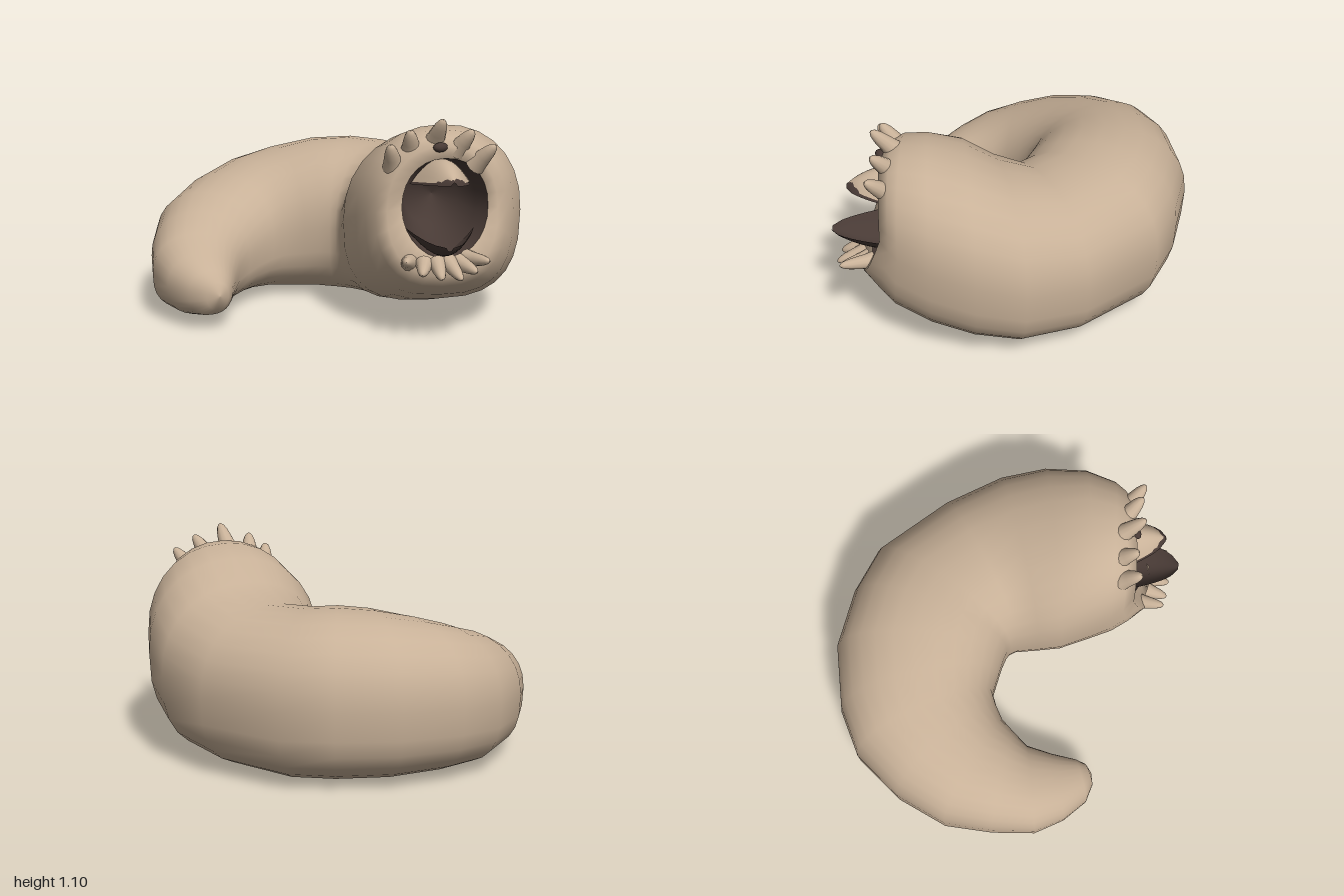
import * as THREE from 'three';

const AROUND = 28;
const V = (x, y, z) => new THREE.Vector3(x, y, z);

// One upright oval: outer (px,pz), inner (qx,qz), bottom, top,
// forward jut of the lower half, and how round the lower half is (1 = ellipse)
function ringPoint([px, pz, qx, qz, bottom, top, jut = 0, round = 0.72], j) {
  const a = (j / AROUND) * Math.PI * 2;
  const power = Math.sin(a) < 0 ? round : 0.92;
  const soft = (v) => Math.sign(v) * Math.abs(v) ** power;
  const c = soft(Math.cos(a)), s = soft(Math.sin(a));
  const push = Math.max(-s, 0) * jut;
  return V(
    (px + qx) / 2 + (c * (px - qx)) / 2 - 0.45 * push,
    (bottom + top) / 2 + (s * (top - bottom)) / 2,
    (pz + qz) / 2 + (c * (pz - qz)) / 2 + 0.89 * push
  );
}

// Grid of rows to a surface; closed rows wrap round without a seam
function skin(rows, closed) {
  const n = rows[0].length, pos = [], idx = [];
  rows.forEach((r) => r.forEach((p) => pos.push(p.x, p.y, p.z)));
  for (let i = 0; i < rows.length - 1; i++) {
    for (let j = 0; j < (closed ? n : n - 1); j++) {
      const k = (j + 1) % n;
      const a = i * n + j, b = i * n + k, c = a + n, d = b + n;
      idx.push(a, b, c, b, d, c);
    }
  }
  const g = new THREE.BufferGeometry();
  g.setAttribute('position', new THREE.Float32BufferAttribute(pos, 3));
  g.setIndex(idx);
  g.computeVertexNormals();
  return g;
}

// Sweep through a list of ovals
const loft = (rings) =>
  skin(rings.map((r) => Array.from({ length: AROUND }, (_, j) => ringPoint(r, j))), true);

// Curved scoop narrowing to its tip; sag < 0 makes an arch, width < 0 turns the face upward
function scoop(base, tip, width, sag) {
  const rows = [], side = V(0.89, 0, 0.45);
  for (let i = 0; i <= 8; i++) {
    const u = i / 8, w = width * Math.sqrt(1 - u * 0.99), row = [];
    for (let j = 0; j <= 12; j++) {
      const v = (j / 12) * 2 - 1;
      const p = base.clone().lerp(tip, u).addScaledVector(side, v * w);
      p.y -= sag * (1 - v * v) * (1 - u * u * 0.85);
      row.push(p);
    }
    rows.push(row);
  }
  return skin(rows, false);
}

export function createModel() {
  const group = new THREE.Group();
  const skinMat = new THREE.MeshStandardMaterial({ color: 0xc8b198 });
  skinMat.name = 'tan skin';
  const darkMat = new THREE.MeshStandardMaterial({ color: 0x483a35, side: THREE.DoubleSide });
  darkMat.name = 'dark mouth';
  const add = (name, geometry, material) => {
    const m = new THREE.Mesh(geometry, material);
    m.name = name;
    group.add(m);
    return m;
  };

  // Curled body from tail tip to the edge of the mouth
  const lip = [0.43, 0.79, 0.03, 0.63, 0.42, 0.9, 0.09, 1];
  add('body', loft([
    [-0.725, 0.135, -0.725, 0.135, 0.19, 0.19],
    [-0.79, 0.115, -0.67, 0.12, 0.12, 0.26, 0, 0.9],
    [-0.86, 0.05, -0.63, 0.08, 0.08, 0.31, 0, 0.85],
    [-0.91, -0.1, -0.56, -0.03, 0.05, 0.37, 0, 0.8],
    [-0.92, -0.27, -0.48, -0.14, 0.04, 0.44],
    [-0.84, -0.48, -0.4, -0.18, 0.035, 0.52],
    [-0.72, -0.7, -0.32, -0.215, 0.03, 0.59],
    [-0.5, -0.88, -0.24, -0.22, 0.03, 0.66],
    [-0.23, -1.0, -0.17, -0.215, 0.02, 0.72],
    [0.02, -1.0, -0.09, -0.15, 0.015, 0.77],
    [0.34, -0.91, -0.03, -0.1, 0.01, 0.815],
    [0.6, -0.72, 0.01, -0.06, 0.005, 0.83],
    [0.78, -0.52, 0.03, -0.03, 0.005, 0.82],
    [0.91, -0.08, 0.03, 0.01, 0.015, 0.81],
    [0.915, 0.25, -0.015, 0.11, 0.03, 0.89],
    [0.84, 0.48, -0.065, 0.22, 0.07, 0.985],
    [0.72, 0.67, -0.085, 0.38, 0.13, 1.035],
    [0.59, 0.785, -0.09, 0.48, 0.2, 1.03, 0.04],
    [0.53, 0.81, -0.08, 0.56, 0.27, 1.0, 0.08, 0.8],
    [0.46, 0.83, -0.055, 0.63, 0.34, 0.965, 0.11, 0.85],
    lip,
  ]), skinMat);

  // Mouth cavity running back from the lip
  add('mouthCavity', loft([
    lip,
    [0.43, 0.68, 0.07, 0.54, 0.45, 0.88, 0.06, 1],
    [0.42, 0.54, 0.16, 0.44, 0.52, 0.82, 0, 1],
    [0.32, 0.45, 0.32, 0.45, 0.67, 0.67],
  ]), darkMat);

  // Beak halves inside the mouth, the upper one with a pale top
  add('lowerBeak', scoop(V(0.22, 0.55, 0.68), V(0.09, 0.525, 0.965), 0.17, 0.12), darkMat);
  add('upperBeak', scoop(V(0.23, 0.765, 0.66), V(0.16, 0.8, 0.89), 0.15, -0.115), darkMat);
  add('upperBeakTop', scoop(V(0.23, 0.778, 0.67), V(0.163, 0.812, 0.875), -0.142, -0.115), skinMat);

  // Dark spot under the top spike
  const browSpot = add('browSpot', new THREE.SphereGeometry(1, 12, 8), darkMat);
  browSpot.position.set(0.19, 0.96, 0.72);
  browSpot.scale.set(0.04, 0.024, 0.025);

  // Fleshy spikes round the mouth, flared at the root
  const profile = [[1.35, -0.2], [1.08, 0.1], [0.95, 0.35], [0.76, 0.65], [0.5, 0.87], [0.24, 0.97], [0, 1]];
  const spike = (name, base, tip, radius) => {
    const from = V(...base), dir = V(...tip).sub(from), len = dir.length();
    const g = new THREE.LatheGeometry(profile.map(([r, y]) => new THREE.Vector2(r * radius, y * len)), 12);
    const m = add(name, g, skinMat);
    m.position.copy(from);
    m.quaternion.setFromUnitVectors(V(0, 1, 0), dir.normalize());
  };
  [
    [[0.0, 0.88, 0.59], [-0.05, 0.98, 0.65]],
    [[0.09, 0.95, 0.61], [0.05, 1.045, 0.67]],
    [[0.2, 0.99, 0.66], [0.18, 1.1, 0.76]],
    [[0.3, 0.95, 0.72], [0.32, 1.045, 0.81]],
    [[0.38, 0.88, 0.77], [0.41, 0.975, 0.87]],
  ].forEach(([b, t]) => spike('upperSpike', b, t, 0.041));
  [
    [[0.01, 0.41, 0.73], [-0.06, 0.44, 0.82]],
    [[0.06, 0.4, 0.79], [0.0, 0.38, 0.87]],
    [[0.12, 0.4, 0.82], [0.08, 0.36, 0.92]],
    [[0.18, 0.4, 0.84], [0.16, 0.36, 0.97]],
    [[0.24, 0.4, 0.85], [0.24, 0.39, 0.98]],
    [[0.29, 0.42, 0.85], [0.3, 0.44, 0.995]],
  ].forEach(([b, t]) => spike('lowerSpike', b, t, 0.034));

  return group;
}
